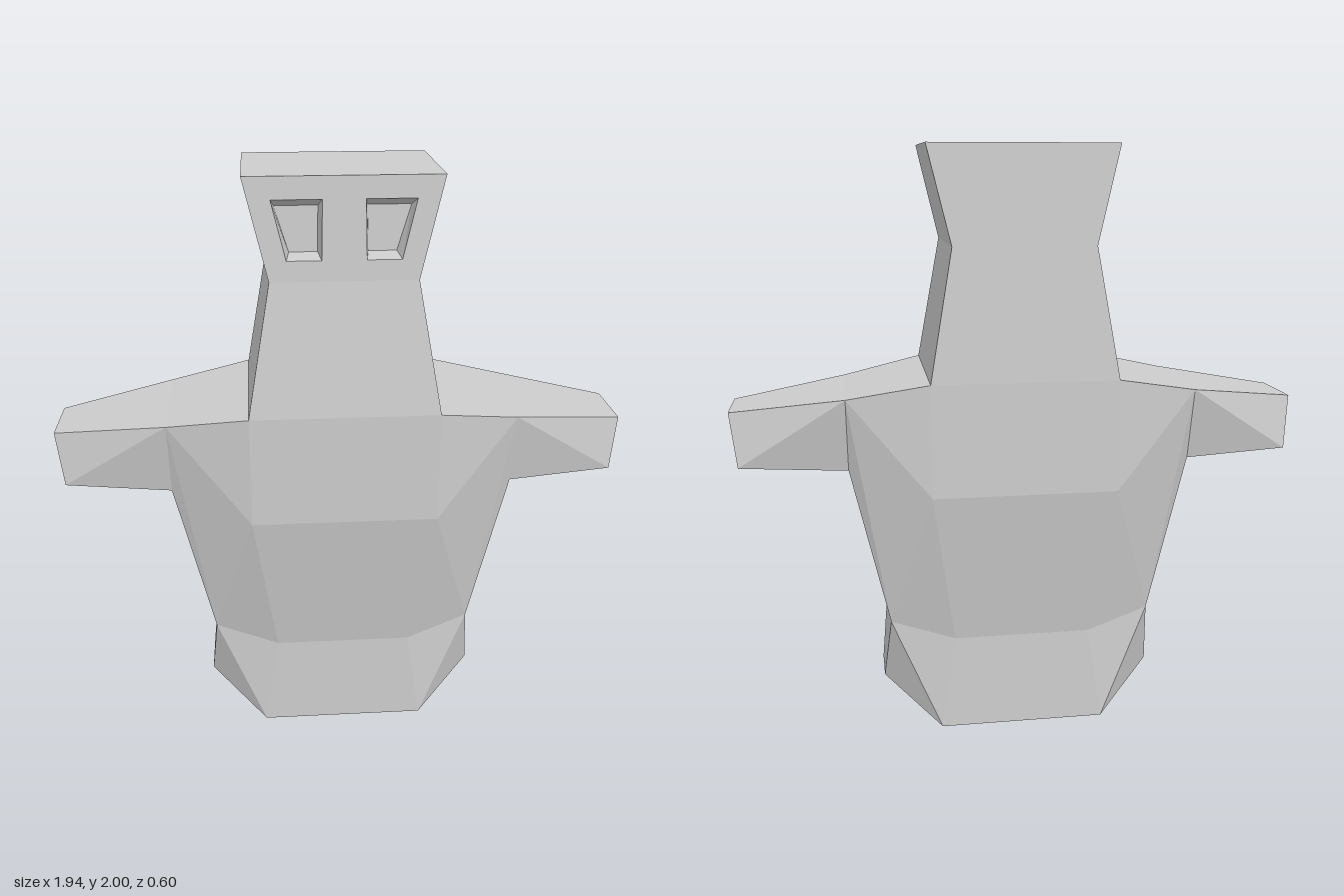
import * as THREE from 'three';

// Outline stations: [x, y, zFront, zBack]; mirrored across x
const P = {
  crown: [0.312, 2.0, 0.225, -0.245],
  neck: [0.235, 1.68, 0.245, -0.265],
  shoulder: [0.312, 1.245, 0.3, -0.295],
  upperArm: [0.585, 1.195, 0.215, -0.245],
  handTop: [0.968, 1.14, 0.105, -0.125],
  handBottom: [0.942, 0.96, 0.135, -0.168],
  armpit: [0.582, 0.945, 0.172, -0.192],
  hip: [0.455, 0.39, 0.155, -0.175],
  knee: [0.48, 0.15, 0.07, -0.085],
  base: [0.285, 0, 0.2, -0.22],
  chest: [0.312, 0.865, 0.295, -0.297],
  belly: [0.235, 0.33, 0.2, -0.213],
};
const at = (key, side, back) => [P[key][0] * side, P[key][1], P[key][back ? 3 : 2]];

// Collects flat polygons into one faceted mesh
class Facets {
  constructor() { this.pos = []; }
  face(points, flip = false) {
    const p = flip ? [...points].reverse() : points;
    for (let i = 1; i < p.length - 1; i++) this.pos.push(...p[0], ...p[i], ...p[i + 1]);
  }
  // patch repeated on the chosen side, front and back
  patch(keys, side) {
    for (const back of [false, true])
      this.face(keys.map(k => at(k, side, back)), (side < 0) !== back);
  }
  // strip joining front and back along the outline
  rim(keys, side) {
    for (let i = 0; i < keys.length - 1; i++) {
      const [a, b] = [keys[i], keys[i + 1]];
      this.face([at(a, side, false), at(b, side, false), at(b, side, true), at(a, side, true)], side < 0);
    }
  }
  // full-width panel between two stations
  panel(a, b, back) {
    this.face([at(a, -1, back), at(b, -1, back), at(b, 1, back), at(a, 1, back)], back);
  }
  cap(key, down) {
    this.face([at(key, -1, false), at(key, 1, false), at(key, 1, true), at(key, -1, true)], down);
  }
  mesh(name, material) {
    const g = new THREE.BufferGeometry();
    g.setAttribute('position', new THREE.Float32BufferAttribute(this.pos, 3));
    g.computeVertexNormals();
    const m = new THREE.Mesh(g, material);
    m.name = name;
    return m;
  }
}

export function createModel() {
  const group = new THREE.Group();
  group.name = 'figure';
  const grey = new THREE.MeshStandardMaterial({ color: 0xcccccc });
  grey.name = 'pale grey';

  // Head and neck
  const head = new Facets();
  head.cap('crown', false);
  head.panel('crown', 'neck', true);
  for (const s of [1, -1]) head.rim(['crown', 'neck'], s);
  group.add(head.mesh('head', grey));

  const neck = new Facets();
  for (const b of [false, true]) neck.panel('neck', 'shoulder', b);
  for (const s of [1, -1]) neck.rim(['neck', 'shoulder'], s);
  group.add(neck.mesh('neck', grey));

  // Face plate with two eye openings, leaning back toward the crown
  const faceZ = y => THREE.MathUtils.mapLinear(y, 1.68, 2, 0.245, 0.225);
  const outer = [[0.07, 1.745], [0.18, 1.745], [0.225, 1.93], [0.067, 1.93]];
  const inner = [[0.08, 1.757], [0.17, 1.757], [0.215, 1.9], [0.077, 1.9]];
  const shape = new THREE.Shape(['crown', 'neck'].map(k => new THREE.Vector2(-P[k][0], P[k][1]))
    .concat(['neck', 'crown'].map(k => new THREE.Vector2(P[k][0], P[k][1]))));
  for (const s of [1, -1])
    shape.holes.push(new THREE.Path(outer.map(([x, y]) => new THREE.Vector2(x * s, y))));
  const plate = new THREE.ShapeGeometry(shape);
  const pos = plate.attributes.position;
  for (let i = 0; i < pos.count; i++) pos.setZ(i, faceZ(pos.getY(i)));
  plate.computeVertexNormals();
  const face = new THREE.Mesh(plate, grey);
  face.name = 'face';
  group.add(face);

  // Recessed eye sockets
  for (const s of [1, -1]) {
    const socket = new Facets();
    const rimPts = outer.map(([x, y]) => [x * s, y, faceZ(y)]);
    const floor = inner.map(([x, y]) => [x * s, y, faceZ(y) - 0.07]);
    for (let i = 0; i < 4; i++) {
      const j = (i + 1) % 4;
      socket.face([rimPts[i], rimPts[j], floor[j], floor[i]], s < 0);
    }
    socket.face(floor, s < 0);
    group.add(socket.mesh(s > 0 ? 'leftEye' : 'rightEye', grey));
  }

  // Torso with faceted flanks
  const torso = new Facets();
  for (const b of [false, true]) {
    torso.panel('shoulder', 'chest', b);
    torso.panel('chest', 'belly', b);
    torso.panel('belly', 'base', b);
  }
  for (const s of [1, -1]) {
    torso.patch(['shoulder', 'chest', 'upperArm'], s);
    torso.patch(['chest', 'hip', 'upperArm'], s);
    torso.patch(['upperArm', 'hip', 'armpit'], s);
    torso.patch(['chest', 'belly', 'hip'], s);
    torso.patch(['belly', 'base', 'hip'], s);
    torso.patch(['hip', 'base', 'knee'], s);
    torso.rim(['shoulder', 'upperArm'], s);
    torso.rim(['armpit', 'hip', 'knee', 'base'], s);
  }
  torso.cap('base', true);
  group.add(torso.mesh('torso', grey));

  // Stubby arms
  for (const s of [1, -1]) {
    const arm = new Facets();
    arm.patch(['upperArm', 'handBottom', 'handTop'], s);
    arm.patch(['upperArm', 'armpit', 'handBottom'], s);
    arm.rim(['upperArm', 'handTop', 'handBottom', 'armpit'], s);
    group.add(arm.mesh(s > 0 ? 'leftArm' : 'rightArm', grey));
  }
  return group;
}
